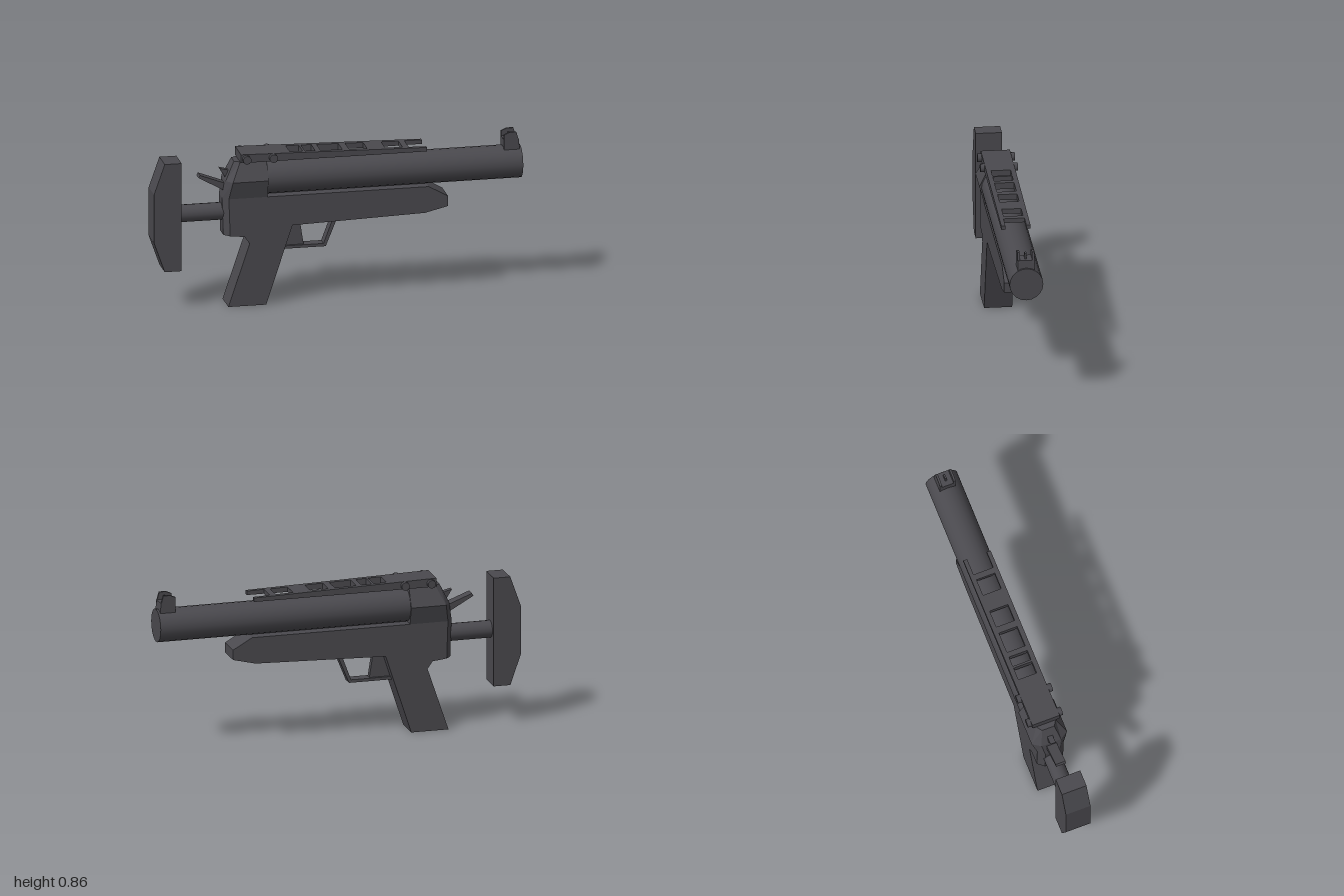
import * as THREE from 'three';

export function createModel() {
  const model = new THREE.Group();
  const gunmetal = new THREE.MeshStandardMaterial({ color: 0x4a494e });
  gunmetal.name = 'gunmetal';

  const add = (name, geometry) => {
    const mesh = new THREE.Mesh(geometry, gunmetal);
    mesh.name = name;
    model.add(mesh);
    return mesh;
  };
  const shapeOf = (points) => new THREE.Shape(points.map(([x, y]) => new THREE.Vector2(x, y)));
  // Side profile (x, y) extruded across z, centred on z
  const profile = (name, points, width, z = 0) => {
    const g = new THREE.ExtrudeGeometry(shapeOf(points), { depth: width, bevelEnabled: false });
    return add(name, g.translate(0, 0, z - width / 2));
  };
  const rodX = (name, radius, x0, x1, y, sides) => {
    const g = new THREE.CylinderGeometry(radius, radius, x1 - x0, sides).rotateZ(Math.PI / 2);
    return add(name, g.translate((x0 + x1) / 2, y, 0));
  };

  // Barrel and stock tube
  rodX('barrel', 0.09, -0.42, 1, 0.69, 20);
  rodX('stockTube', 0.047, -0.87, -0.58, 0.515, 16);

  // Lower frame with fore-end and slanted grip
  profile('frameAndGrip', [
    [-0.58, 0.6], [0.49, 0.6], [0.595, 0.54], [0.595, 0.485], [0.47, 0.455],
    [-0.25, 0.433], [-0.392, 0], [-0.598, 0], [-0.482, 0.345], [-0.51, 0.385], [-0.58, 0.392],
  ], 0.15);

  // Receiver: stacked plan sections with chamfered rear corners
  const rings = [
    // y, rear x, half width, rear inset
    [0.393, -0.618, 0.075, 0.035],
    [0.6, -0.625, 0.075, 0.035],
    [0.697, -0.608, 0.101, 0.045],
    [0.798, -0.56, 0.055, 0.02],
  ].map(([y, xr, w, c]) => [
    [-0.385, y, w], [-0.385, y, -w], [xr + 0.03, y, -w],
    [xr, y, c - w], [xr, y, w - c], [xr + 0.03, y, w],
  ]);
  const tris = [];
  for (let r = 0; r < rings.length - 1; r++) {
    for (let i = 0; i < 6; i++) {
      const j = (i + 1) % 6;
      const [a, b, c, d] = [rings[r][i], rings[r][j], rings[r + 1][j], rings[r + 1][i]];
      tris.push(a, b, c, a, c, d);
    }
  }
  const bottom = rings[0], top = rings[rings.length - 1];
  for (let i = 1; i < 5; i++) {
    tris.push(top[0], top[i], top[i + 1], bottom[0], bottom[i + 1], bottom[i]);
  }
  const receiver = new THREE.BufferGeometry();
  receiver.setAttribute('position', new THREE.Float32BufferAttribute(tris.flat(), 3));
  receiver.computeVertexNormals();
  add('receiver', receiver);

  // Shoulder plate
  profile('shoulderPlate', [
    [-0.85, 0.215], [-0.85, 0.815], [-0.942, 0.815], [-1, 0.65], [-1, 0.38], [-0.942, 0.215],
  ], 0.14);

  // Trigger and its guard
  profile('triggerGuard', [
    [-0.3, 0.29], [-0.06, 0.29], [0.003, 0.445], [-0.02, 0.445], [-0.072, 0.306], [-0.3, 0.306],
  ], 0.06);
  profile('trigger', [[-0.26, 0.44], [-0.198, 0.44], [-0.176, 0.3], [-0.3, 0.3]], 0.032);

  // Hammer and small latch at the rear
  profile('hammer', [[-0.742, 0.728], [-0.75, 0.714], [-0.6, 0.63], [-0.59, 0.67]], 0.056);
  profile('rearLatch', [[-0.635, 0.757], [-0.6, 0.7], [-0.56, 0.73], [-0.585, 0.744]], 0.03);

  // Ladder sight: tapering slotted plate with an open front notch
  const ladder = shapeOf([
    [-0.53, -0.078], [0.48, -0.078], [0.48, -0.056], [0.385, -0.056],
    [0.385, 0.056], [0.48, 0.056], [0.48, 0.078], [-0.53, 0.078],
  ]);
  for (const [x0, x1] of [[-0.26, -0.19], [-0.178, -0.122], [-0.093, 0.025], [0.062, 0.16], [0.257, 0.352]]) {
    ladder.holes.push(shapeOf([[x0, -0.052], [x0, 0.052], [x1, 0.052], [x1, -0.052]]));
  }
  const sight = new THREE.ExtrudeGeometry(ladder, { depth: 1, bevelEnabled: false }).rotateX(-Math.PI / 2);
  const p = sight.attributes.position;
  for (let i = 0; i < p.count; i++) {
    const thickness = 0.047 - 0.025 * (p.getX(i) + 0.53);
    p.setY(i, 0.798 + p.getY(i) * thickness);
  }
  sight.computeVertexNormals();
  add('ladderSight', sight);

  // Hinge pins
  for (const x of [-0.5, -0.355]) {
    add('hingePin', new THREE.CylinderGeometry(0.023, 0.023, 0.2, 10).rotateX(Math.PI / 2).translate(x, 0.818, 0));
  }

  // Front sight: base, two ears and a centre post
  profile('frontSightBase', [[0.905, 0.76], [0.99, 0.76], [0.985, 0.822], [0.905, 0.822]], 0.09);
  for (const side of [-1, 1]) {
    profile('frontSightEar', [
      [0.905, 0.81], [0.987, 0.81], [0.972, 0.863], [0.935, 0.863], [0.905, 0.85],
    ], 0.012, side * 0.039);
  }
  profile('frontSightPost', [[0.93, 0.81], [0.965, 0.81], [0.96, 0.852], [0.935, 0.852]], 0.01);

  return model;
}
